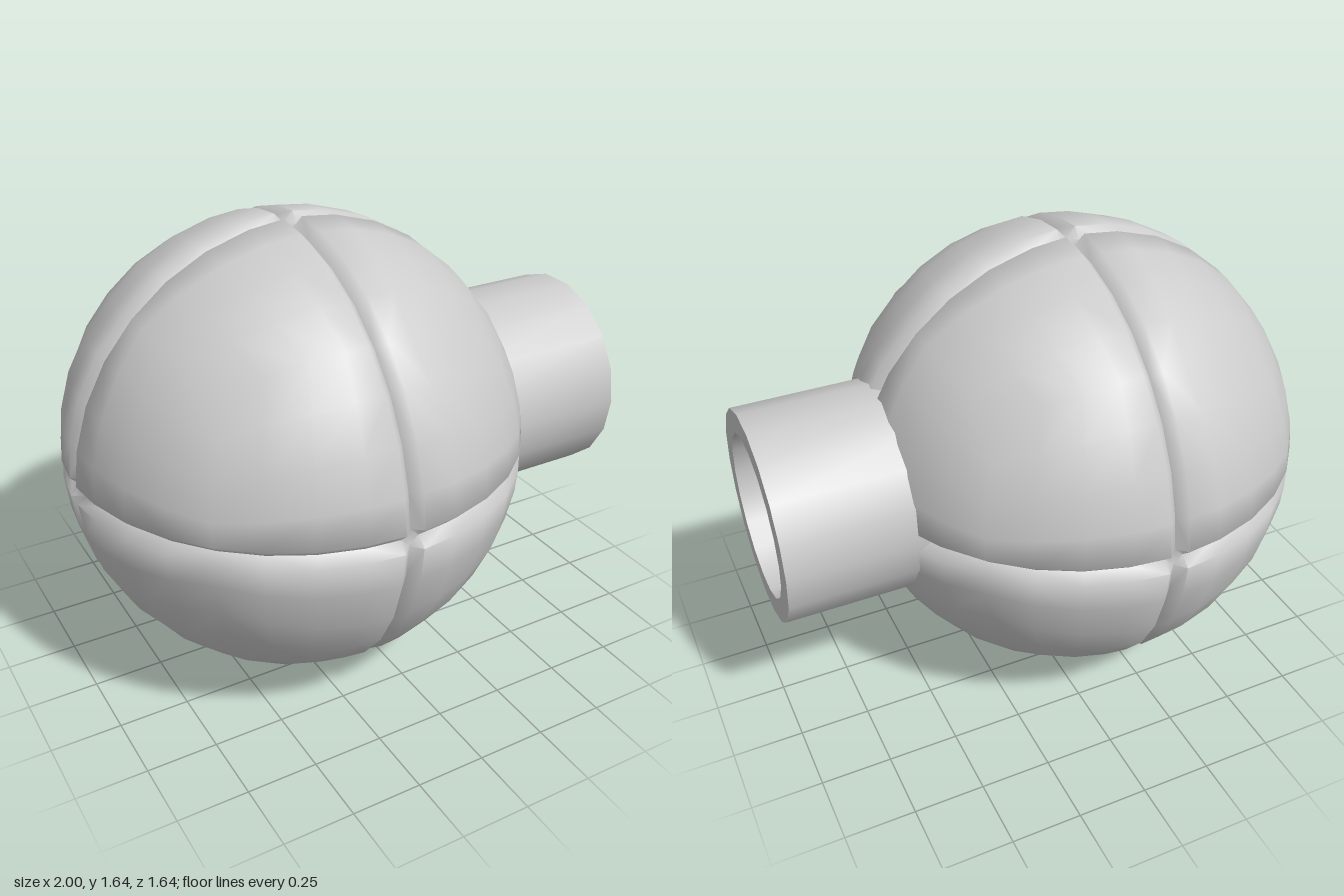
import * as THREE from 'three';
import { toCreasedNormals } from 'three/addons/utils/BufferGeometryUtils.js';

const R = 0.822, GROOVE_R = 0.785, RIM = 0.034 / R; // ball radius, groove floor radius, groove half width
const CENTRE = new THREE.Vector3(-0.178, 0.825, 0);
const PIPE_R = 0.378, BORE_R = 0.293;

// Rounded cube grid whose middle lines are pulled in as V grooves
function ballGeometry() {
  const step = Math.PI / 16;
  const lines = [-4, -3, -2, -1, -0.5, 0, 0.5, 1, 2, 3, 4]; // +-0.5 marks the groove rims
  const n = lines.length;
  const positions = [], index = [];

  const point = (axis, sign, a, b) => {
    const d = [0, 0, 0], u = (axis + 1) % 3, v = (axis + 2) % 3;
    d[axis] = sign;
    d[u] = Math.tan(a * step);
    d[v] = Math.tan(b * step);
    // rims keep a constant distance from the groove plane
    const fixed = [];
    if (Math.abs(a) === 0.5) fixed.push(u);
    if (Math.abs(b) === 0.5) fixed.push(v);
    let free = 0;
    d.forEach((c, k) => { if (!fixed.includes(k)) free += c * c; });
    const scale = Math.sqrt((1 - fixed.length * RIM * RIM) / free);
    const r = a === 0 || b === 0 ? GROOVE_R : R;
    return d.map((c, k) => r * (fixed.includes(k) ? Math.sign(c) * RIM : c * scale));
  };

  // leave the ball open inside the pipe
  const insideBore = (i) => positions[3 * i] > 0 &&
    Math.hypot(positions[3 * i + 1], positions[3 * i + 2]) < 0.29;
  const tri = (a, b, c, sign) => {
    if ([a, b, c].some(insideBore)) return;
    if (sign > 0) index.push(a, b, c);
    else index.push(a, c, b);
  };

  for (let axis = 0; axis < 3; axis++) {
    for (const sign of [1, -1]) {
      const base = positions.length / 3;
      for (const b of lines) for (const a of lines) positions.push(...point(axis, sign, a, b));
      for (let j = 0; j < n - 1; j++) {
        for (let i = 0; i < n - 1; i++) {
          const p = base + j * n + i, q = p + 1, s = p + n, t = s + 1;
          // diagonals run around the face centre
          if ((i < 5) === (j < 5)) { tri(p, q, s, sign); tri(q, t, s, sign); }
          else { tri(p, q, t, sign); tri(p, t, s, sign); }
        }
      }
    }
  }
  const geometry = new THREE.BufferGeometry();
  geometry.setAttribute('position', new THREE.Float32BufferAttribute(positions, 3));
  geometry.setIndex(index);
  return toCreasedNormals(geometry, Math.PI / 3);
}

// Hollow pipe with a flat floor, turned to point along +x
function pipeGeometry() {
  const profile = [[PIPE_R, 0.45], [PIPE_R, 1], [BORE_R, 1], [BORE_R, 0.53], [0, 0.53]];
  const geometry = new THREE.LatheGeometry(profile.map(([r, h]) => new THREE.Vector2(r, h)), 18);
  geometry.rotateZ(-Math.PI / 2);
  return toCreasedNormals(geometry, Math.PI / 5);
}

export function createModel() {
  const group = new THREE.Group();
  const material = new THREE.MeshStandardMaterial({ color: 0xcccccc });

  const ball = new THREE.Mesh(ballGeometry(), material);
  ball.name = 'groovedBall';
  ball.position.copy(CENTRE);

  const pipe = new THREE.Mesh(pipeGeometry(), material);
  pipe.name = 'sidePipe';
  pipe.position.y = CENTRE.y;

  group.add(ball, pipe);
  return group;
}
